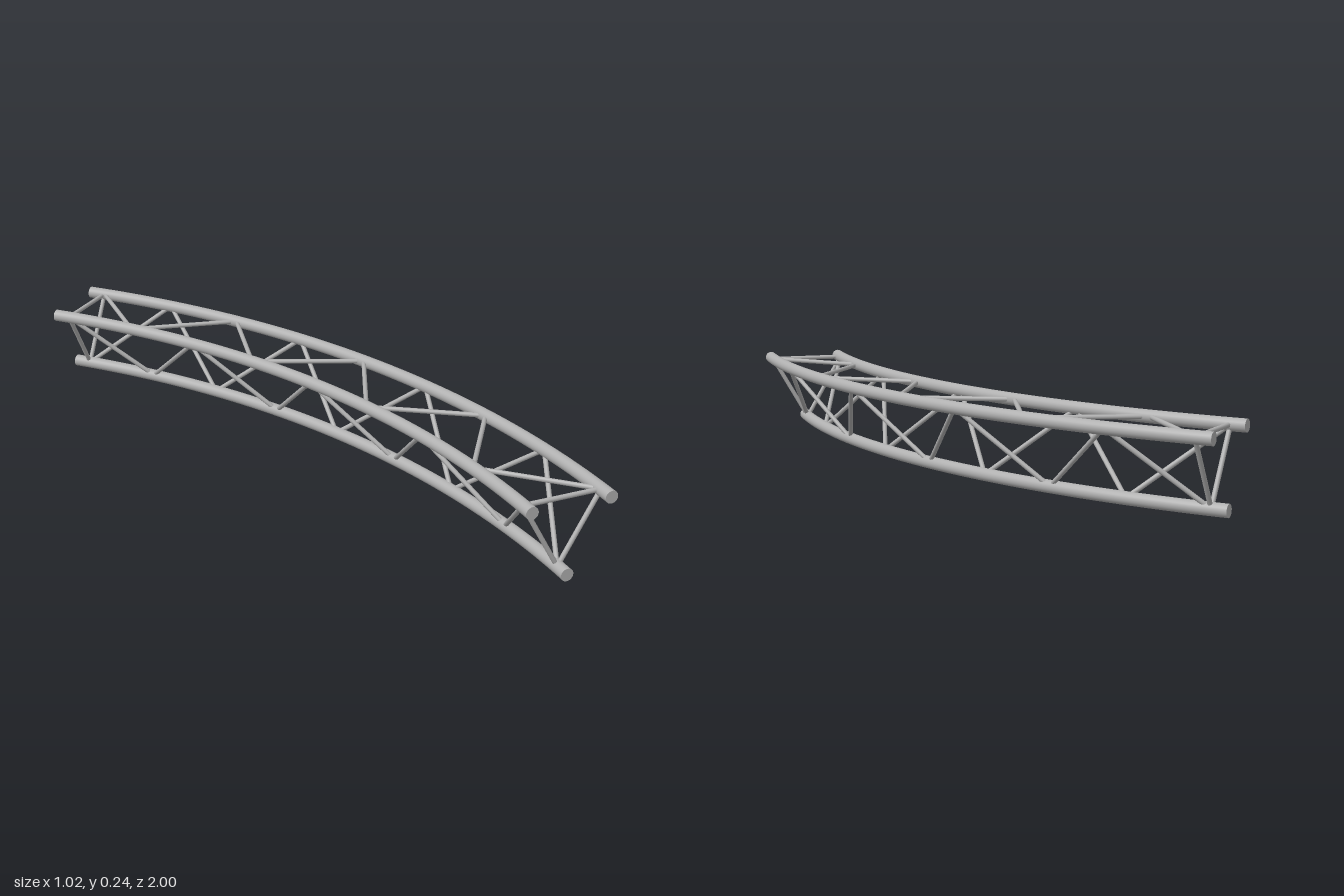
import * as THREE from 'three';

// Arc plan: every chord shares one centre and sweeps 45 degrees
const CX = -2.319, CZ = 1, SWEEP = Math.PI / 4;
const CHORD_R = 0.0188, STRUT_R = 0.007, BAYS = 8, END = 0.0185;

const chords = {
  inner: { radius: 2.572, y: 0.2255 },
  outer: { radius: 2.809, y: 0.2255 },
  lower: { radius: 2.691, y: 0.0188 },
};

function pointOn({ radius, y }, a) {
  return new THREE.Vector3(CX + radius * Math.cos(a), y, CZ - radius * Math.sin(a));
}

class ChordCurve extends THREE.Curve {
  constructor(chord) {
    super();
    this.chord = chord;
  }
  getPoint(t, target = new THREE.Vector3()) {
    return target.copy(pointOn(this.chord, t * SWEEP));
  }
  getTangent(t, target = new THREE.Vector3()) {
    const a = t * SWEEP;
    return target.set(-Math.sin(a), 0, -Math.cos(a));
  }
}

export function createModel() {
  const truss = new THREE.Group();
  truss.name = 'curvedTriangularTruss';
  const metal = new THREE.MeshStandardMaterial({ color: 0xb0b0b0 });
  metal.name = 'aluminium grey';

  const add = (parent, geometry, name) => {
    const mesh = new THREE.Mesh(geometry, metal);
    mesh.name = name;
    parent.add(mesh);
    return mesh;
  };

  // Main chords: bent tubes with flat end caps
  for (const [name, chord] of Object.entries(chords)) {
    const group = new THREE.Group();
    group.name = name + 'Chord';
    add(group, new THREE.TubeGeometry(new ChordCurve(chord), 48, CHORD_R, 24), name + 'Tube');
    [0, SWEEP].forEach((a, i) => {
      const cap = add(group, new THREE.CircleGeometry(CHORD_R, 24), name + 'Cap');
      cap.position.copy(pointOn(chord, a));
      cap.rotation.y = i ? Math.PI + a : 0;
    });
    truss.add(group);
  }

  // Straight round bar between two points
  const up = new THREE.Vector3(0, 1, 0);
  function strut(parent, a, b, name) {
    const dir = b.clone().sub(a);
    const mesh = add(parent, new THREE.CylinderGeometry(STRUT_R, STRUT_R, dir.length(), 12), name);
    mesh.position.copy(a).add(b).multiplyScalar(0.5);
    mesh.quaternion.setFromUnitVectors(up, dir.normalize());
  }

  // Each face: a zigzag from its even-node chord to its odd-node chord, plus a bar at both ends
  const node = (k) => END + (k * (SWEEP - 2 * END)) / BAYS;
  const faces = [
    ['innerFace', chords.inner, chords.lower],
    ['outerFace', chords.lower, chords.outer],
    ['topFace', chords.outer, chords.inner],
  ];
  for (const [name, even, odd] of faces) {
    const group = new THREE.Group();
    group.name = name + 'Bracing';
    for (let k = 0; k < BAYS; k++) {
      const [from, to] = k % 2 ? [odd, even] : [even, odd];
      strut(group, pointOn(from, node(k)), pointOn(to, node(k + 1)), name + 'Diagonal');
    }
    for (const k of [0, BAYS]) {
      strut(group, pointOn(even, node(k)), pointOn(odd, node(k)), name + 'EndBar');
    }
    truss.add(group);
  }

  return truss;
}
